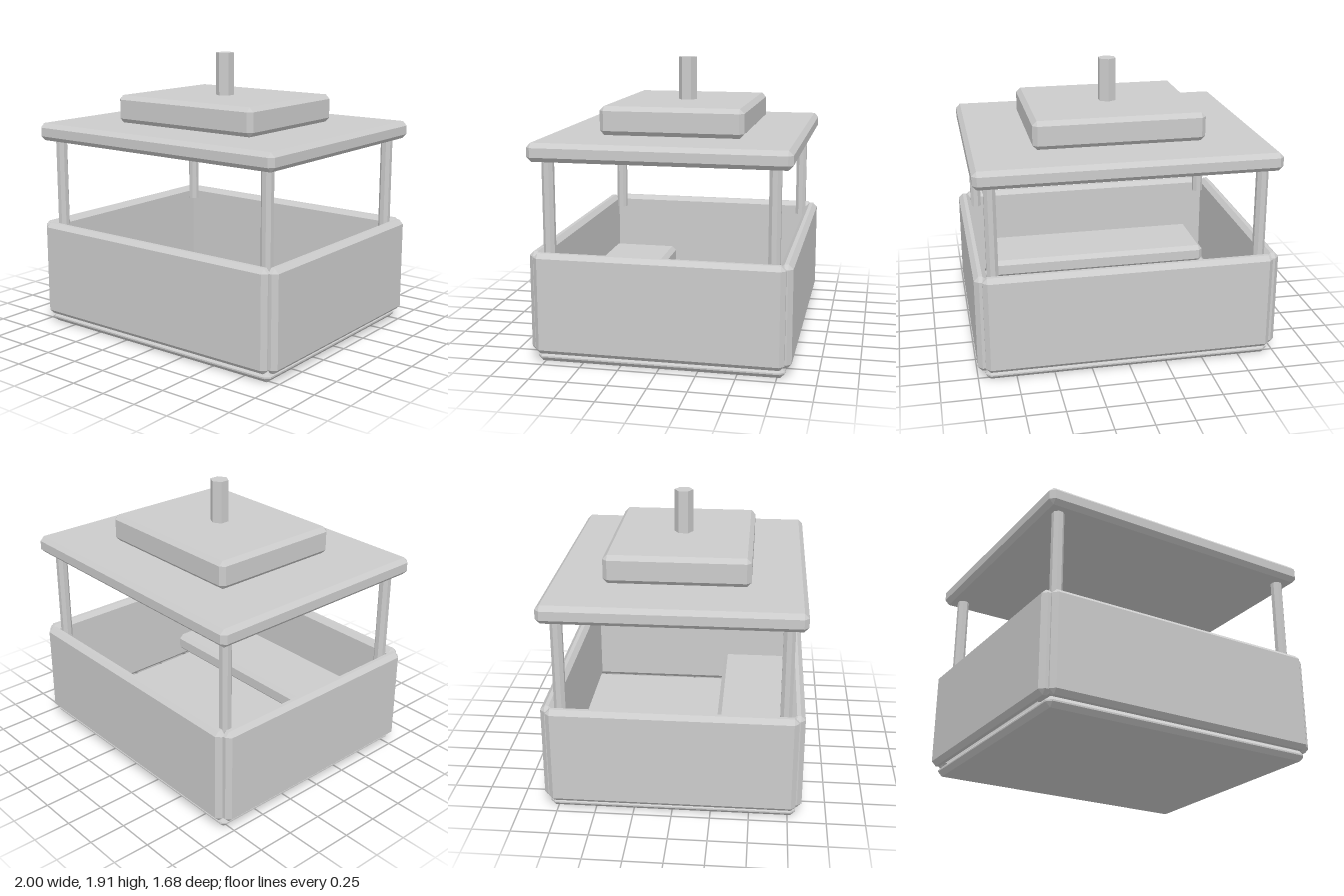
import * as THREE from 'three';
import { ConvexGeometry } from 'three/addons/geometries/ConvexGeometry.js';

const material = new THREE.MeshStandardMaterial({ color: 0xcccccc, flatShading: true });

// Box with every edge chamfered by b: three points at each corner
function chamferBox(w, h, d, b) {
  const points = [];
  for (const sx of [-1, 1]) for (const sy of [-1, 1]) for (const sz of [-1, 1]) {
    for (const [ix, iy, iz] of [[0, b, b], [b, 0, b], [b, b, 0]]) {
      points.push(new THREE.Vector3(sx * (w / 2 - ix), sy * (h / 2 - iy), sz * (d / 2 - iz)));
    }
  }
  return new ConvexGeometry(points);
}

export function createModel() {
  const model = new THREE.Group();

  const add = (name, geometry, x, y, z) => {
    const mesh = new THREE.Mesh(geometry, material);
    mesh.name = name;
    mesh.position.set(x, y, z);
    model.add(mesh);
    return mesh;
  };
  // Chamfered box spanning y0 to y1
  const slab = (name, w, d, y0, y1, x = 0, z = 0, b = 0.03) =>
    add(name, chamferBox(w, y1 - y0, d, b), x, (y0 + y1) / 2, z);

  // Open cabin: floor and four thin walls
  slab('floor', 1.9, 1.6, 0, 0.07);
  const t = 0.085;
  slab('frontWall', 1.9, t, 0.065, 0.73, 0, 0.84 - t / 2);
  slab('backWall', 1.9, t, 0.065, 0.73, 0, -0.84 + t / 2);
  slab('leftWall', t, 1.6, 0.065, 0.73, 1 - t / 2, 0);
  slab('rightWall', t, 1.6, 0.065, 0.73, -1 + t / 2, 0);

  // Bench inside the front wall
  slab('bench', 1.6, 0.5, 0.23, 0.36, 0, 0.505);

  // Corner posts carrying the roof
  for (const sx of [-1, 1]) for (const sz of [-1, 1]) {
    const post = new THREE.CylinderGeometry(0.04, 0.04, 0.7, 8);
    post.rotateY(Math.PI / 8);
    add('cornerPost', post, sx * 0.877, 1.0, sz * 0.718);
  }

  // Roof, raised cap and hanger rod
  slab('roof', 1.97, 1.66, 1.31, 1.43);
  slab('roofCap', 1.14, 0.95, 1.43, 1.62);
  add('hangerRod', new THREE.CylinderGeometry(0.063, 0.063, 0.31, 6), 0, 1.755, 0);

  return model;
}
